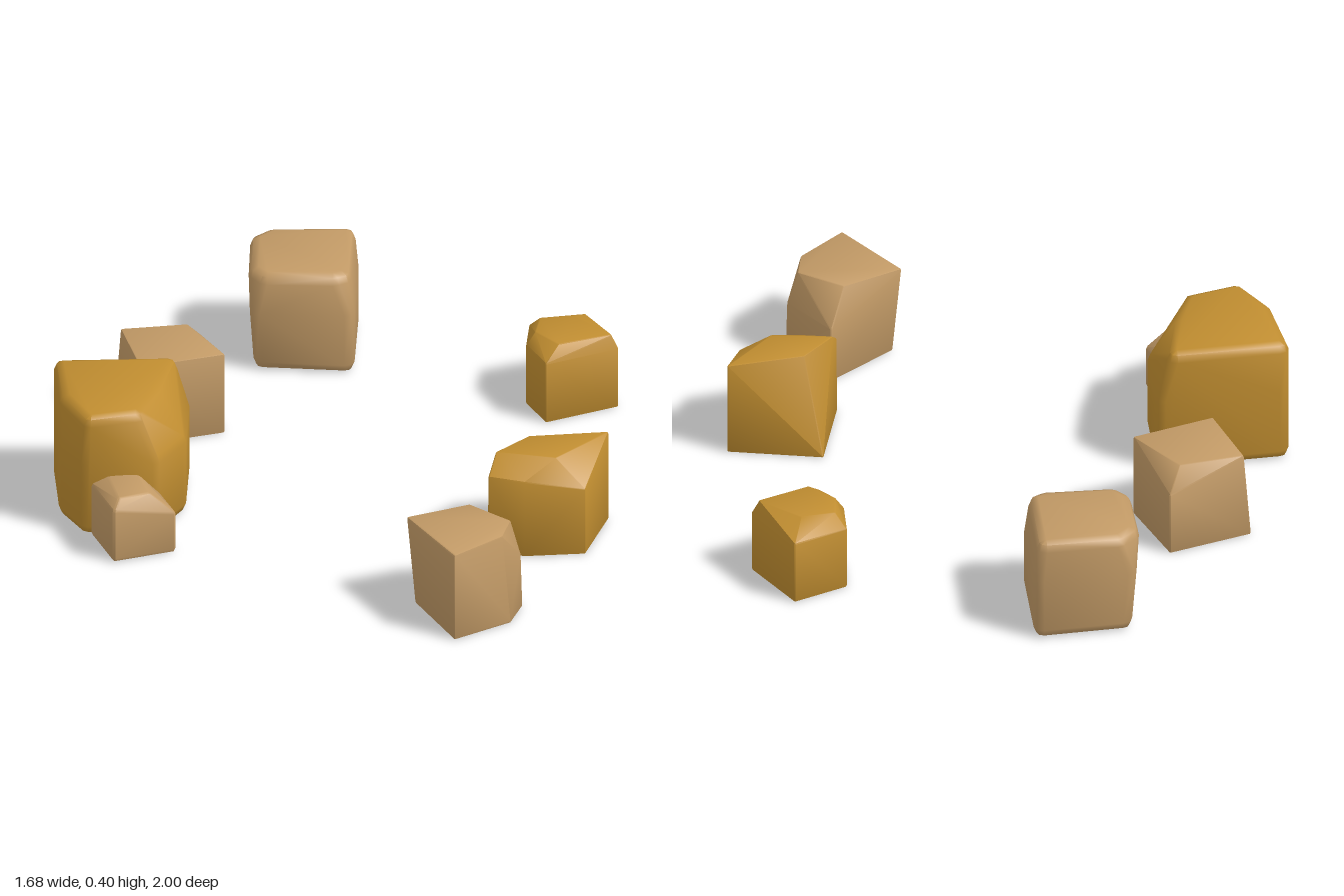
import * as THREE from 'three';
import { toCreasedNormals } from 'three/addons/utils/BufferGeometryUtils.js';
import { ConvexGeometry } from 'three/addons/geometries/ConvexGeometry.js';

// Convex stone with softened corners: a small ball at every corner, wrapped in a hull.
// levels: [height, [x, z], [x, z], ...]
function stone(name, material, radius, levels) {
  const corners = levels.flatMap(([y, ...ring]) => ring.map(([x, z]) => new THREE.Vector3(x, y, z)));
  const box = new THREE.Box3().setFromPoints(corners);
  const centre = box.getCenter(new THREE.Vector3());
  const ball = new THREE.SphereGeometry(radius, 8, 4).attributes.position;
  const points = [];
  for (const c of corners) {
    // pull the ball inwards so that it stays within the outline
    const inward = new THREE.Vector3(centre.x - c.x, 0, centre.z - c.z).setLength(radius * 1.2);
    const p = c.clone().add(inward);
    p.y = THREE.MathUtils.clamp(p.y, radius, box.max.y - radius);
    for (let i = 0; i < ball.count; i++) {
      points.push(new THREE.Vector3().fromBufferAttribute(ball, i).add(p));
    }
  }
  const geometry = toCreasedNormals(new ConvexGeometry(points), radius > 0.02 ? 0.85 : 0.6);
  const mesh = new THREE.Mesh(geometry, material);
  mesh.name = name;
  return mesh;
}

export function createModel() {
  const tan = new THREE.MeshStandardMaterial({ color: 0xc29a66 });
  tan.name = 'tan stone';
  const ochre = new THREE.MeshStandardMaterial({ color: 0xc08d30 });
  ochre.name = 'ochre stone';

  const group = new THREE.Group();
  group.name = 'stoneRing';

  // Large rounded boulder
  const boulder = [[-0.84, 0], [-0.44, -0.03], [-0.43, 0.23], [-0.51, 0.37], [-0.74, 0.39], [-0.82, 0.27]];
  group.add(stone('largeBoulder', ochre, 0.03, [
    [0, ...boulder],
    [0.24, ...boulder],
    [0.4, [-0.84, 0], [-0.48, -0.03], [-0.5, 0.18], [-0.57, 0.35], [-0.73, 0.39], [-0.82, 0.24]],
  ]));

  // Small stone leaning against the boulder
  group.add(stone('smallStone', tan, 0.012, [
    [0, [-0.64, 0.555], [-0.455, 0.48], [-0.53, 0.31], [-0.715, 0.38]],
    [0.17, [-0.715, 0.38], [-0.64, 0.555]],
    [0.13, [-0.455, 0.48], [-0.53, 0.31]],
    [0.205, [-0.67, 0.38], [-0.63, 0.53], [-0.53, 0.49], [-0.58, 0.35]],
  ]));

  // Square stone with one clipped corner
  group.add(stone('clippedStone', tan, 0.006, [
    [0, [-0.68, -0.44], [-0.425, -0.53], [-0.34, -0.28], [-0.59, -0.19]],
    [0.2, [-0.425, -0.53]],
    [0.27, [-0.66, -0.43], [-0.46, -0.47], [-0.34, -0.28], [-0.59, -0.19]],
  ]));

  // Rounded block at the back
  group.add(stone('backBlock', tan, 0.03, [
    [0, [-0.26, -0.98], [0.03, -1], [0.03, -0.67], [-0.265, -0.68]],
    [0.2, [-0.275, -0.98], [0.03, -1], [0.03, -0.67], [-0.275, -0.665]],
    [0.33, [-0.29, -0.94], [-0.24, -0.99], [0.02, -1], [0.02, -0.69], [-0.01, -0.67], [-0.25, -0.67], [-0.285, -0.71]],
  ]));

  // Five-sided stone at the back
  const five = [[0.73, -0.705], [0.84, -0.495], [0.625, -0.385], [0.56, -0.5], [0.565, -0.63]];
  group.add(stone('backPebble', ochre, 0.006, [
    [0, ...five],
    [0.2, ...five],
    [0.245, [0.82, -0.5], [0.66, -0.43], [0.585, -0.51], [0.595, -0.6], [0.7, -0.62]],
  ]));

  // Angular stone whose back corner reaches the ground only
  group.add(stone('angularStone', ochre, 0.005, [
    [0, [0.555, 0.15], [0.84, 0.215], [0.78, 0.44], [0.595, 0.465], [0.485, 0.43]],
    [0.22, [0.78, 0.44]],
    [0.25, [0.595, 0.46], [0.487, 0.43]],
    [0.3, [0.84, 0.215], [0.505, 0.36], [0.69, 0.39], [0.6, 0.25]],
  ]));

  // Front stone with a sloping back corner
  group.add(stone('frontStone', tan, 0.006, [
    [0, [0.485, 0.605], [0.605, 0.78], [0.575, 0.885], [0.41, 1], [0.28, 0.77]],
    [0.18, [0.485, 0.605], [0.6, 0.78]],
    [0.29, [0.255, 0.76], [0.41, 1], [0.55, 0.87], [0.57, 0.77], [0.44, 0.67]],
  ]));

  return group;
}
